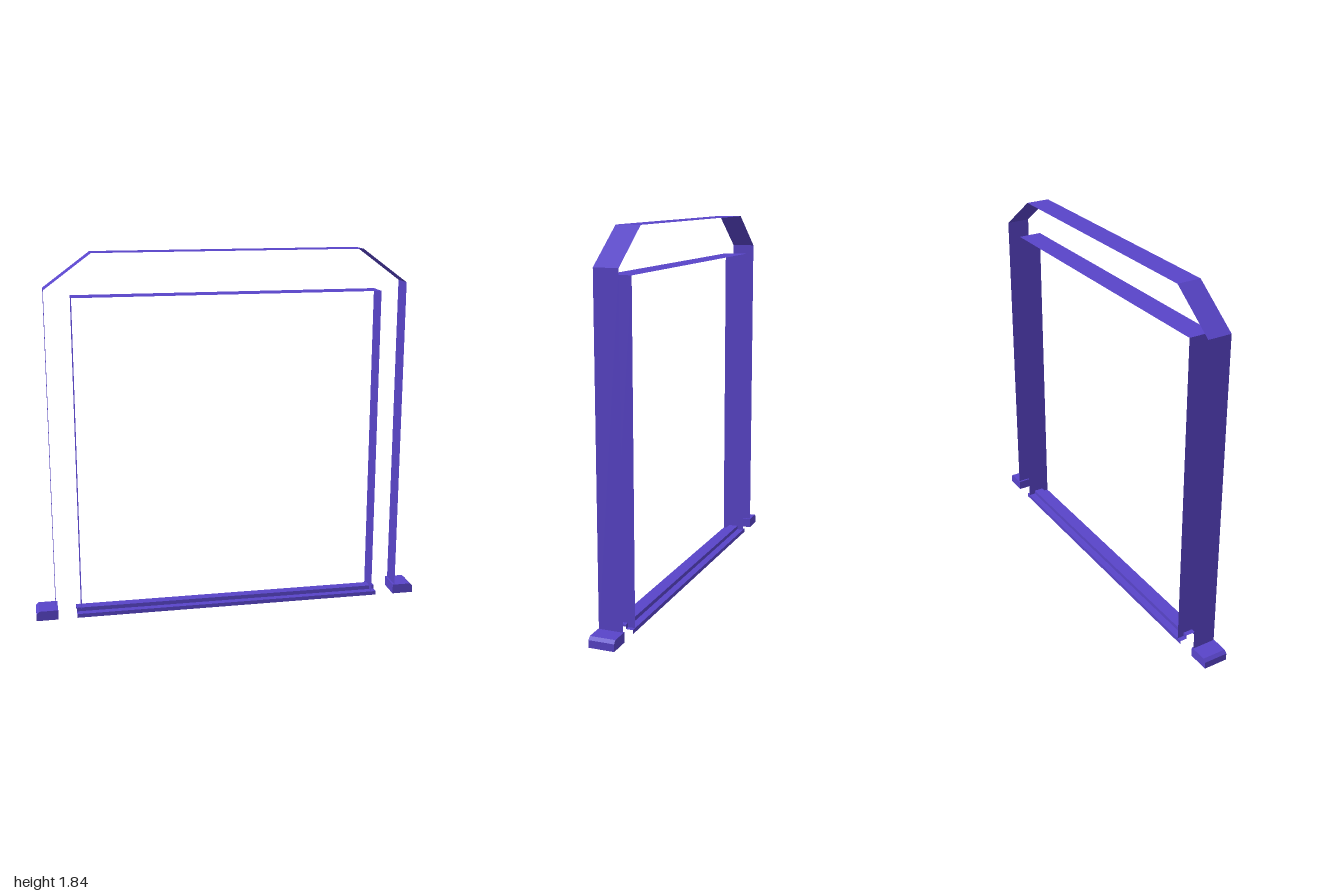
import * as THREE from 'three';

const DEPTH = 0.12;

// Open strip: sweeps a 2D profile (x, y) along z, one flat quad per segment
function stripGeometry(points, depth) {
  const positions = [];
  const h = depth / 2;
  for (let i = 0; i < points.length - 1; i++) {
    const [ax, ay] = points[i];
    const [bx, by] = points[i + 1];
    positions.push(ax, ay, h, ax, ay, -h, bx, by, h);
    positions.push(bx, by, h, ax, ay, -h, bx, by, -h);
  }
  const geometry = new THREE.BufferGeometry();
  geometry.setAttribute('position', new THREE.Float32BufferAttribute(positions, 3));
  geometry.computeVertexNormals();
  return geometry;
}

export function createModel() {
  const model = new THREE.Group();
  model.name = 'doorFrame';
  const material = new THREE.MeshStandardMaterial({ color: 0x5844c8, side: THREE.DoubleSide });

  const add = (name, geometry, parent = model) => {
    const mesh = new THREE.Mesh(geometry, material);
    mesh.name = name;
    parent.add(mesh);
    return mesh;
  };

  // Outer band with chamfered shoulders
  add('outerBand', stripGeometry([
    [-0.9, 0.02], [-0.9, 1.67], [-0.67, 1.84],
    [0.67, 1.84], [0.9, 1.67], [0.9, 0.02],
  ], DEPTH));

  // Inner band around the square opening
  add('innerBand', stripGeometry([
    [-0.77, 0.02], [-0.77, 1.63], [0.77, 1.63], [0.77, 0.02],
  ], DEPTH));

  // Threshold: folded channel with a raised middle, open below
  const sill = add('sill', stripGeometry([
    [-0.06, 0], [-0.06, 0.02], [-0.025, 0.02], [-0.025, 0.04],
    [0.025, 0.04], [0.025, 0.02], [0.06, 0.02], [0.06, 0],
  ], 1.59));
  sill.rotation.y = Math.PI / 2;

  // Feet: hollow caps with a bevelled outer edge, open below
  for (const side of [-1, 1]) {
    const foot = new THREE.Group();
    foot.name = side > 0 ? 'leftFoot' : 'rightFoot';
    const profile = [[0.89, 0], [0.89, 0.05], [0.985, 0.05], [1, 0.036], [1, 0]]
      .map(([x, y]) => [x * side, y]);
    add('footShell', stripGeometry(profile, 0.125), foot);
    const shape = new THREE.Shape(profile.map(([x, y]) => new THREE.Vector2(x, y)));
    for (const z of [-0.0625, 0.0625]) {
      add('footEnd', new THREE.ShapeGeometry(shape), foot).position.z = z;
    }
    model.add(foot);
  }

  return model;
}
